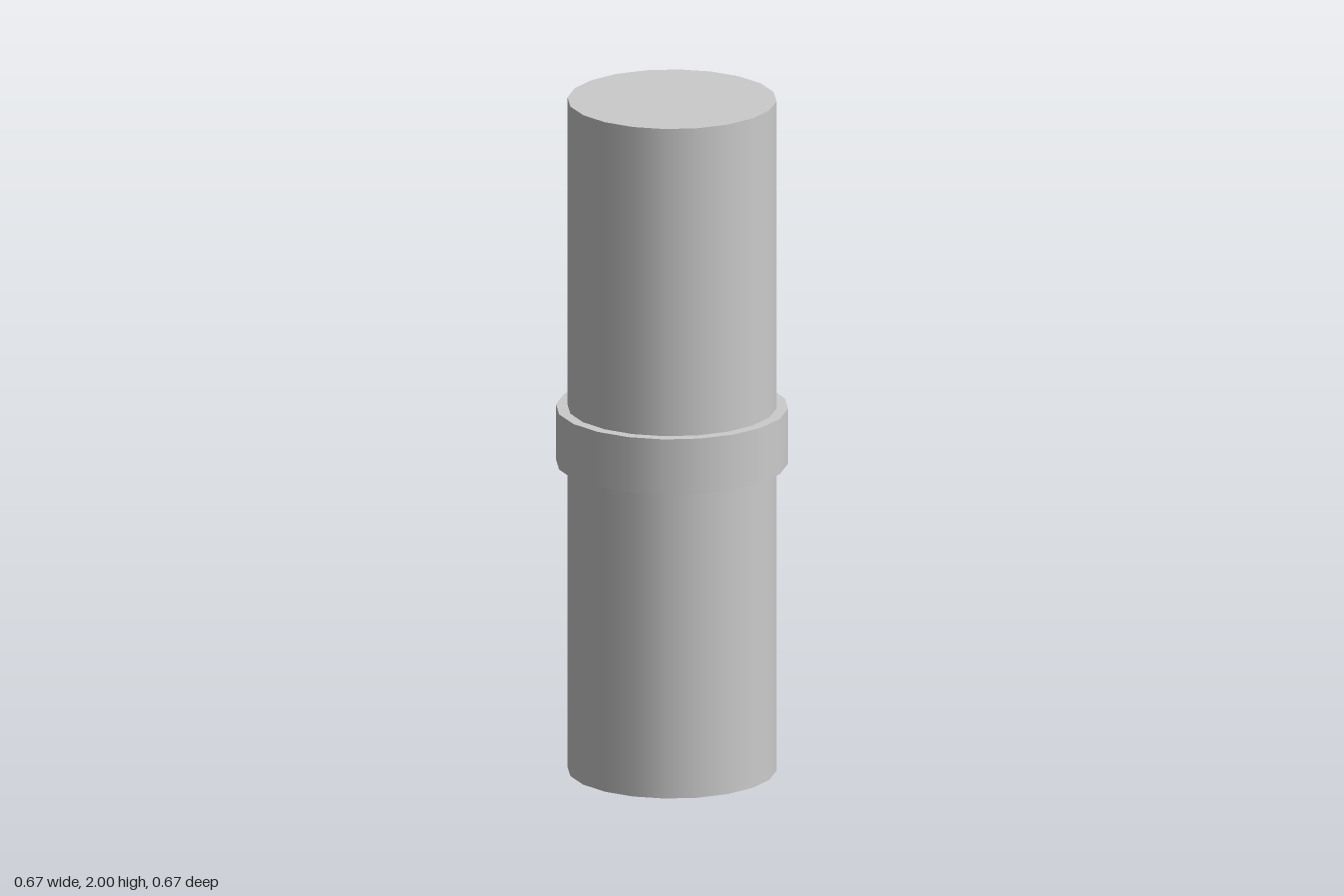
import * as THREE from 'three';

const SIDES = 20;

export function createModel() {
  const model = new THREE.Group();
  const material = new THREE.MeshStandardMaterial({ color: 0xcccccc });

  // Upright capped cylinder centred at height y
  function addCylinder(name, radius, height, y) {
    const geometry = new THREE.CylinderGeometry(radius, radius, height, SIDES);
    const mesh = new THREE.Mesh(geometry, material);
    mesh.name = name;
    mesh.position.y = y;
    model.add(mesh);
  }

  // Full-height shaft
  addCylinder('shaft', 0.3, 2, 1);

  // Collar around the middle of the shaft
  addCylinder('collar', 0.333, 0.165, 1);

  return model;
}
